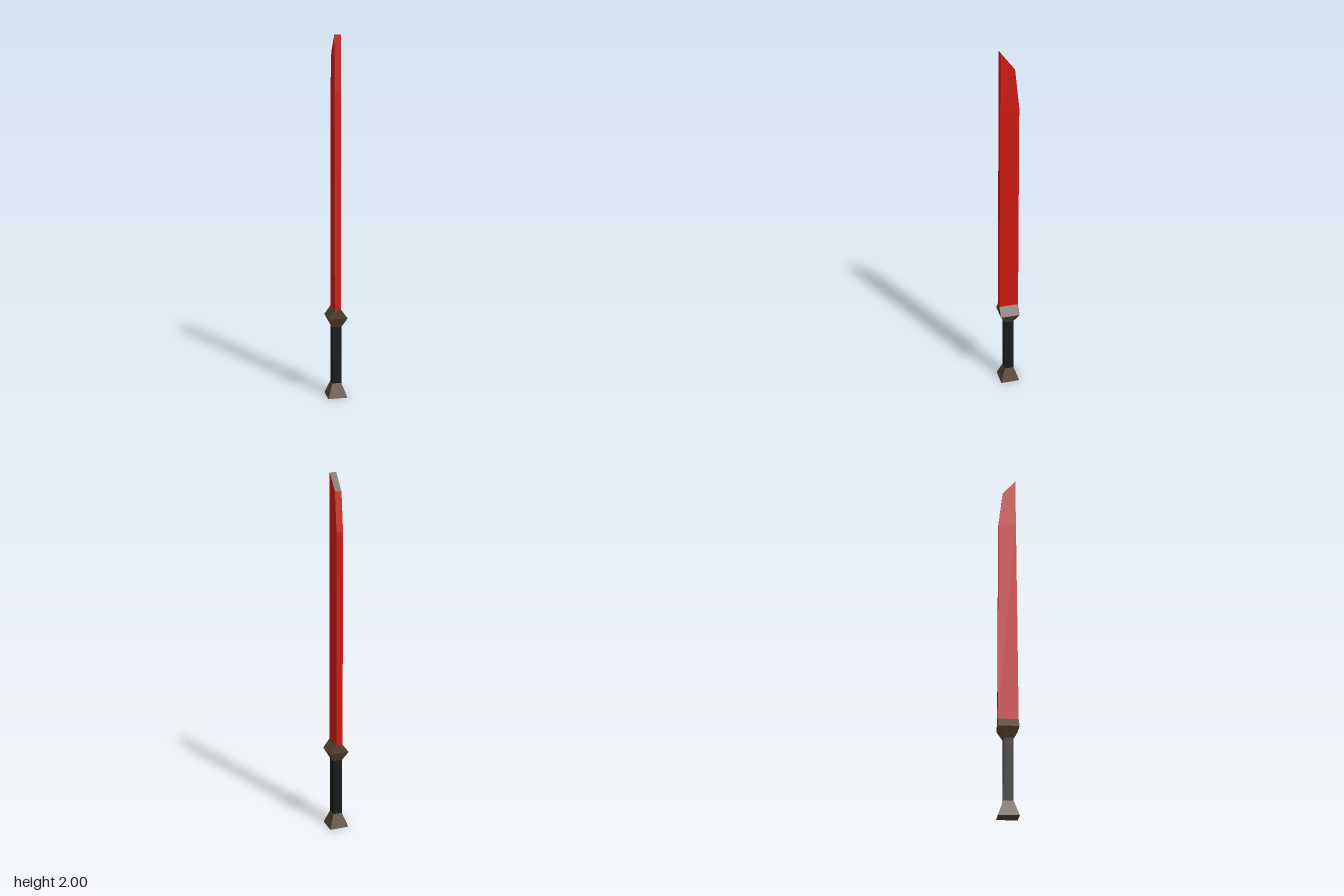
import * as THREE from 'three';

const material = (color) => new THREE.MeshStandardMaterial({ color, flatShading: true });

// Four corners, counterclockwise from above; front and back edges may differ in height
const ring = (halfX, zFront, zBack, yFront, yBack = yFront) => [
  [halfX, yFront, zFront],
  [halfX, yBack, zBack],
  [-halfX, yBack, zBack],
  [-halfX, yFront, zFront],
];
const square = (half, y) => ring(half, half, -half, y);

// Mesh made of four-cornered faces
function quadMesh(name, quads, mat) {
  const points = quads.flatMap(([a, b, c, d]) => [a, b, c, a, c, d]).flat();
  const geometry = new THREE.BufferGeometry();
  geometry.setAttribute('position', new THREE.Float32BufferAttribute(points, 3));
  geometry.computeVertexNormals();
  const mesh = new THREE.Mesh(geometry, mat);
  mesh.name = name;
  return mesh;
}

// Faces joining each ring to the next
function sides(rings) {
  const quads = [];
  for (let r = 0; r < rings.length - 1; r++) {
    for (let i = 0; i < 4; i++) {
      const j = (i + 1) % 4;
      quads.push([rings[r][i], rings[r][j], rings[r + 1][j], rings[r + 1][i]]);
    }
  }
  return quads;
}

const solid = (rings) => [...sides(rings), [...rings[0]].reverse(), rings[rings.length - 1]];

export function createModel() {
  const group = new THREE.Group();
  group.name = 'sword';
  const red = material(0xcc1a12);
  const bronze = material(0x574331);
  const black = material(0x1a1b1c);

  // Blade with a nearly straight front edge and an angled back near the tip
  const w = 0.018;
  const tip = ring(w, 0.042, -0.032, 2, 1.91);
  const blade = [
    ring(w, 0.055, -0.055, 0.515),
    ring(w, 0.045, -0.055, 1.705),
    tip,
  ];
  group.add(quadMesh('blade', sides(blade), red));
  group.add(quadMesh('bladeTip', [tip], bronze));

  // Guard flares from the grip, then narrows to the blade thickness
  const guard = [square(0.026, 0.41), square(0.055, 0.465), ring(w, 0.055, -0.055, 0.515)];
  group.add(quadMesh('guard', solid(guard), bronze));

  // Square grip
  group.add(quadMesh('grip', sides([square(0.026, 0.08), square(0.026, 0.41)]), black));

  // Flared pommel
  group.add(quadMesh('pommel', solid([square(0.055, 0), square(0.026, 0.08)]), bronze));

  return group;
}
